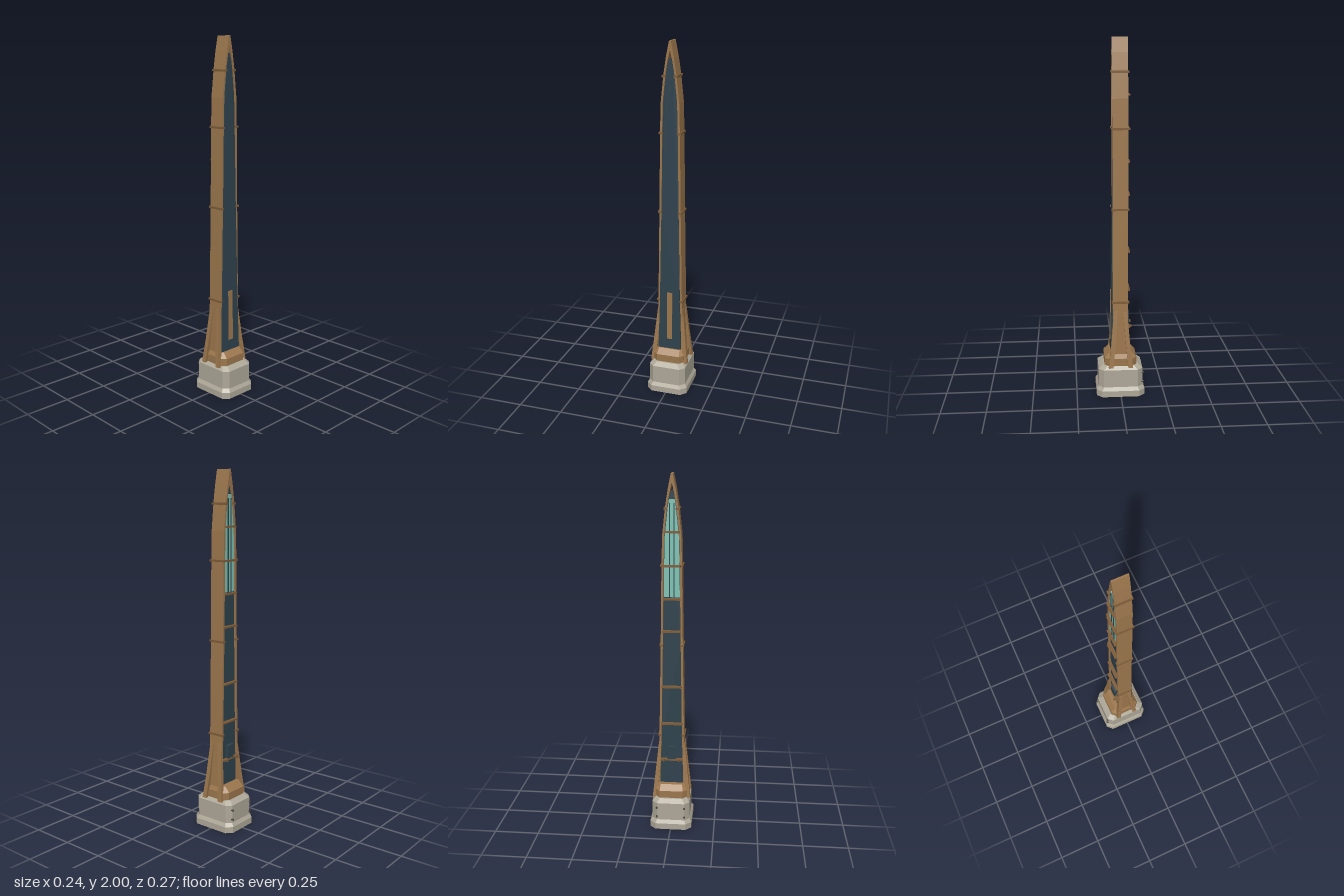
import * as THREE from 'three';

const mat = (name, color) => {
  const m = new THREE.MeshStandardMaterial({ color });
  m.name = name;
  return m;
};

// Outer half width of the tower at rising heights
const PROFILE = [[0.2, 0.08], [0.55, 0.07], [1.08, 0.061], [1.52, 0.055], [1.68, 0.051], [1.83, 0.035], [1.92, 0.021], [2.0, 0.005]];

function halfWidth(y) {
  for (let i = 1; i < PROFILE.length; i++) {
    const [y0, w0] = PROFILE[i - 1], [y1, w1] = PROFILE[i];
    if (y <= y1) return w0 + (w1 - w0) * (y - y0) / (y1 - y0);
  }
  return 0.005;
}

// Closed outline, symmetric about x = 0, from [y, halfWidth] pairs
function outline(pairs) {
  const right = pairs.map(([y, w]) => new THREE.Vector2(w, y));
  const left = pairs.map(([y, w]) => new THREE.Vector2(-w, y)).reverse();
  return [...right, ...left];
}

// Straight extrusion between two z planes
function slab(shape, z0, z1) {
  return new THREE.ExtrudeGeometry(shape, { depth: z1 - z0, bevelEnabled: false }).translate(0, 0, z0);
}

// Flat-faced solid through rings of points, listed bottom to top
function loft(rings) {
  const pos = [], n = rings[0].length;
  const tri = (...pts) => pts.forEach((p) => pos.push(...p));
  for (let r = 0; r < rings.length - 1; r++) {
    const a = rings[r], b = rings[r + 1];
    for (let i = 0; i < n; i++) {
      const j = (i + 1) % n;
      tri(a[i], b[i], a[j]);
      tri(a[j], b[i], b[j]);
    }
  }
  const lo = rings[0], hi = rings[rings.length - 1];
  for (let i = 1; i < n - 1; i++) {
    tri(lo[0], lo[i], lo[i + 1]);
    tri(hi[0], hi[i + 1], hi[i]);
  }
  const g = new THREE.BufferGeometry();
  g.setAttribute('position', new THREE.Float32BufferAttribute(pos, 3));
  g.computeVertexNormals();
  return g;
}

// Rectangle with cut corners at height y
const octagon = (y, x, z, c) => [
  [x, y, -z + c], [x, y, z - c], [x - c, y, z], [-x + c, y, z],
  [-x, y, z - c], [-x, y, -z + c], [-x + c, y, -z], [x - c, y, -z],
];

const rect = (y, cx, cz, hx, hz) => [
  [cx + hx, y, cz - hz], [cx + hx, y, cz + hz], [cx - hx, y, cz + hz], [cx - hx, y, cz - hz],
];

export function createModel() {
  const model = new THREE.Group();
  model.name = 'tower';
  const stone = mat('stone', 0xaea898);
  const bronze = mat('bronze', 0x9c774d);
  const trim = mat('dark bronze', 0x7d5c38);
  const slate = mat('dark slate', 0x2f424d);
  const glass = mat('teal glass', 0x7fc4b4);
  const iron = mat('iron', 0x4c4a45);

  const add = (name, geometry, material, x = 0, y = 0, z = 0) => {
    const mesh = new THREE.Mesh(geometry, material);
    mesh.name = name;
    mesh.position.set(x, y, z);
    model.add(mesh);
    return mesh;
  };
  const box = (name, material, w, h, d, x, y, z) => add(name, new THREE.BoxGeometry(w, h, d), material, x, y, z);

  // Stone base and bronze plinth
  add('stoneBase', loft([
    octagon(0, 0.119, 0.137, 0.032), octagon(0.035, 0.119, 0.137, 0.032),
    octagon(0.055, 0.107, 0.125, 0.028), octagon(0.158, 0.107, 0.125, 0.028),
    octagon(0.178, 0.088, 0.1, 0.024),
  ]), stone);
  add('plinth', loft([
    octagon(0.17, 0.09, 0.091, 0.024), octagon(0.22, 0.09, 0.091, 0.024), octagon(0.25, 0.076, 0.062, 0.014),
  ]), bronze);

  // Pointed frame, open at front and back
  const frame = new THREE.Shape(outline(PROFILE));
  const inner = PROFILE.slice(0, -2).map(([y, w]) => [y + 0.01, w - 0.012]);
  inner.push([1.9, 0.0125], [1.95, 0.001]);
  frame.holes.push(new THREE.Path(outline(inner)));
  add('frame', slab(frame, -0.043, 0.043), bronze);

  // Dark core, its front swelling slightly towards the foot
  const corePairs = PROFILE.slice(0, -2).map(([y, w]) => [Math.max(y, 0.22), w - 0.0115]);
  corePairs.push([1.88, 0.015], [1.91, 0.006]);
  const core = slab(new THREE.Shape(outline(corePairs)), -0.034, 0.038);
  const p = core.attributes.position;
  for (let i = 0; i < p.count; i++) {
    if (p.getZ(i) > 0) p.setZ(i, 0.038 + 0.017 * Math.max(0, (1.5 - p.getY(i)) / 1.28));
  }
  core.computeVertexNormals();
  add('core', core, slate);

  // Front stripe, lying on the sloping core face
  const stripe = box('frontStripe', bronze, 0.031, 0.29, 0.006, 0, 0.457, 0.0525);
  stripe.rotation.x = -0.0133;

  // Back glazing with mullions
  const glassPairs = [1.35, 1.52, 1.68, 1.83, 1.87].map((y) => [y, halfWidth(y) - 0.014]);
  add('backGlass', slab(new THREE.Shape(outline(glassPairs)), -0.038, -0.033), glass);
  for (const s of [-1, 1]) box('mullion', slate, 0.006, 0.5, 0.007, s * 0.012, 1.6, -0.038);

  // Back cross ribs
  for (const y of [0.4, 0.62, 0.84, 1.16, 1.34, 1.52, 1.7]) {
    box('backRib', trim, 2 * halfWidth(y) - 0.018, 0.01, 0.02, 0, y, -0.044);
  }

  // Service hatch with brackets above the lowest rib
  box('hatch', slate, 0.05, 0.08, 0.018, 0, 0.44, -0.042);
  for (const s of [-1, 1]) box('hatchBracket', trim, 0.009, 0.014, 0.018, s * 0.043, 0.4, -0.056);

  for (const s of [-1, 1]) {
    // Bands clasping each side wall
    for (const y of [0.55, 1.08, 1.52, 1.82]) {
      box('band', trim, 0.021, 0.011, 0.098, s * (halfWidth(y) - 0.004), y, 0);
    }
    // Splayed corner buttresses
    for (const t of [-1, 1]) {
      add('buttress', loft([
        rect(0.17, s * 0.097, t * 0.056, 0.012, 0.013),
        rect(0.3, s * 0.083, t * 0.042, 0.012, 0.012),
        rect(0.5, s * 0.066, t * 0.026, 0.008, 0.011),
      ]), bronze);
    }
    // Bolts on the back of the base
    for (const y of [0.075, 0.13]) {
      const bolt = add('bolt', new THREE.CylinderGeometry(0.006, 0.006, 0.012, 8), iron, s * 0.079, y, -0.126);
      bolt.rotation.x = Math.PI / 2;
    }
  }
  return model;
}
